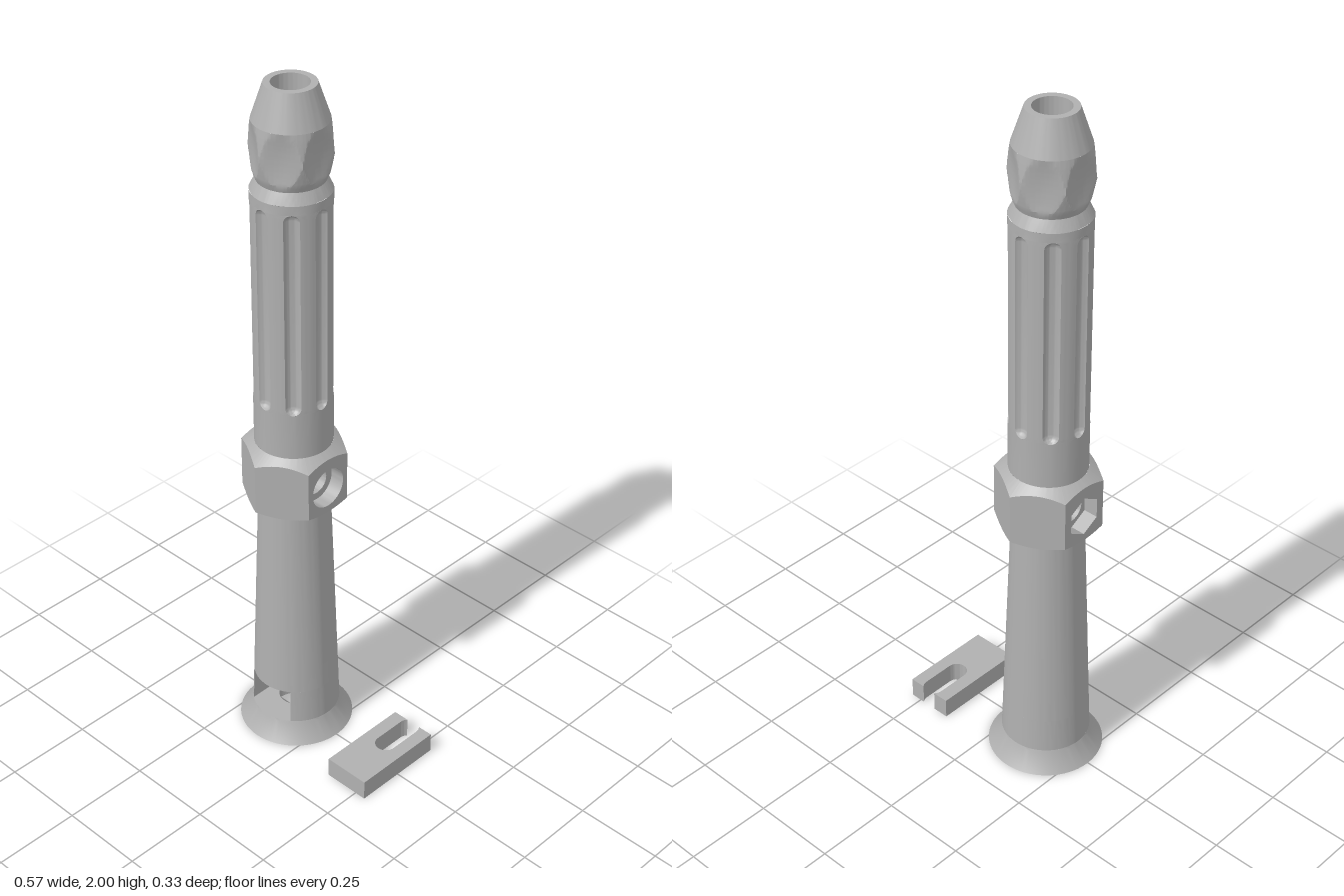
import * as THREE from 'three';
import { toCreasedNormals } from 'three/addons/utils/BufferGeometryUtils.js';

const steel = new THREE.MeshStandardMaterial({ color: 0xb0b0b0 });
steel.name = 'grey steel';

const BORE = 0.05, HOLE = 0.05 * Math.sin(THREE.MathUtils.degToRad(48)), HOLE_Y = 0.858;
const APOTHEM = 0.128, SEAT = 0.085, BARREL = 0.107;
const rad = THREE.MathUtils.degToRad;
const range = (a, b, n) => Array.from({ length: n + 1 }, (_, i) => a + (b - a) * i / n);
const polar = (r, a, y) => [r * Math.sin(a), y, r * Math.cos(a)];

// Skin over rows of points (rows run upwards, columns run to the right)
function loft(rows) {
  const n = rows[0].length, index = [];
  for (let j = 0; j < rows.length - 1; j++) {
    for (let i = 0; i < n - 1; i++) {
      const a = j * n + i, b = a + 1, c = b + n, d = a + n;
      index.push(a, b, c, a, c, d);
    }
  }
  const g = new THREE.BufferGeometry();
  g.setAttribute('position', new THREE.Float32BufferAttribute(rows.flat(2), 3));
  g.setIndex(index);
  return g;
}

function add(parent, name, geometry, crease = 0.5) {
  const mesh = new THREE.Mesh(toCreasedNormals(geometry, crease), steel);
  mesh.name = name;
  parent.add(mesh);
  return mesh;
}

const lathe = pts => new THREE.LatheGeometry(pts.map(p => new THREE.Vector2(...p)), 80);

// Ring-shaped section of the lower body with the slot open to the front
function slottedSection() {
  const a = Math.atan2(0.1, 0.075), s = new THREE.Shape();
  s.absarc(0, 0, 0.125, -a, Math.PI + a, false);
  s.lineTo(-0.075, 0);
  s.lineTo(-BORE, 0);
  s.absarc(0, 0, BORE, Math.PI, 0, true);
  s.lineTo(0.075, 0);
  s.closePath();
  const g = new THREE.ExtrudeGeometry(s, { depth: 0.105, bevelEnabled: false, curveSegments: 40 });
  g.rotateX(-Math.PI / 2).translate(0, 0.06, 0);
  const p = g.attributes.position;
  for (let i = 0; i < p.count; i++) {
    if (p.getY(i) > 0.1 && Math.hypot(p.getX(i), p.getZ(i)) > 0.12) {
      p.setX(i, p.getX(i) * 0.97);
      p.setZ(i, p.getZ(i) * 0.97);
    }
  }
  return g;
}

// Hexagonal collar with conical shoulders and a socket in each side face
function hexCollar() {
  const group = new THREE.Group();
  group.name = 'hexCollar';
  const top = r => 0.965 - (r - BARREL) * 0.75;
  const bottom = r => 0.765 + (r - 0.1) * 0.5;
  const locals = range(-30, 30, 20).map(rad);
  const hexR = l => APOTHEM / Math.cos(l);

  for (let k = 0; k < 6; k++) {
    const ring = f => locals.map(l => polar(...f(l, l + rad(60 * k + 30))));
    const lower = ring((l, a) => [hexR(l), a, bottom(hexR(l))]);
    const upper = ring((l, a) => [hexR(l), a, top(hexR(l))]);
    add(group, 'collarLowerShoulder', loft([ring((l, a) => [0.1, a, 0.765]), lower]));
    add(group, 'collarUpperShoulder', loft([upper, ring((l, a) => [BARREL, a, 0.965])]));
    if (k % 3 !== 1) add(group, 'collarFace', loft([lower, upper]));
  }

  for (const s of [1, -1]) {
    const edge = f => locals.map(l => new THREE.Vector2(APOTHEM * Math.tan(l), f(hexR(l))));
    const face = new THREE.Shape([...edge(bottom), ...edge(top).reverse()]);
    // round counterbore on one side, six-sided nut pocket on the other
    const sides = s > 0 ? 48 : 6;
    face.holes.push(new THREE.Path(range(0, 2 * Math.PI, sides).slice(0, -1).map(t =>
      new THREE.Vector2(0.058 * Math.sin(t), HOLE_Y + 0.058 * Math.cos(t)))));
    const g = new THREE.ExtrudeGeometry(face, { depth: APOTHEM - SEAT, bevelEnabled: false });
    g.translate(0, 0, SEAT).rotateY(s * Math.PI / 2);
    add(group, 'socketFace', g);

    // seat and cross hole leading into the bore
    const ring = (r, x) => range(0, 2 * Math.PI, 48).map(t => {
      const z = s * r * Math.sin(t);
      return [s * x(z), HOLE_Y + r * Math.cos(t), z];
    });
    add(group, 'crossHole', loft([
      ring(0.06, () => SEAT), ring(HOLE, () => SEAT),
      ring(HOLE, z => Math.sqrt(Math.max(0, BORE * BORE - z * z))),
    ]));
  }

  // bore wall, opened where the cross hole passes
  const angles = range(360, 0, 240).map(rad);
  const h = a => Math.sqrt(Math.max(0, HOLE ** 2 - (BORE * Math.cos(a)) ** 2));
  const wall = f => angles.map(a => polar(BORE, a, f(a)));
  add(group, 'boreWall', loft([wall(() => 0.75), wall(a => HOLE_Y - h(a))]));
  add(group, 'boreWall', loft([wall(a => HOLE_Y + h(a)), wall(() => 0.95)]));
  return group;
}

// Barrel with eight round-ended flutes
function flutedBarrel() {
  const tool = 0.022, lift = 0.006, W = Math.sqrt(tool ** 2 - lift ** 2);
  const y0 = 1.1 + W, y1 = 1.69 - W;
  const ends = range(0, 90, 7).map(d => W * Math.sin(rad(d)));
  const ys = [0.965, ...ends.slice().reverse().map(d => y0 - d), ...ends.map(d => y1 + d), 1.715];
  const params = [-2, -1.66, -1.33, ...range(-1, 1, 12), 1.33, 1.66];
  return loft(ys.map(y => {
    const dy = Math.max(0, y0 - y, y - y1);
    const w = Math.sqrt(Math.max(0, W * W - dy * dy));
    const wa = Math.max(w, 0.0005) / BARREL;
    const row = [];
    for (let k = 0; k < 8; k++) {
      for (const p of params) {
        const q = Math.abs(p);
        const l = q <= 1 ? p * wa : Math.sign(p) * (wa + (q - 1) * (Math.PI / 8 - wa));
        const cut = q < 1 && w > 0 ? Math.sqrt(tool ** 2 - dy * dy - (p * w) ** 2) - lift : 0;
        row.push(polar(BARREL - cut, l + k * Math.PI / 4, y));
      }
    }
    row.push(row[0]);
    return row;
  }));
}

// Neck and bulb with six hollowed facets meeting at points
function facetedBulb() {
  const profile = [[1.715, BARREL], [1.745, 0.091], [1.765, 0.099], [1.822, 0.1115], [1.88, 0.104], [1.905, 0.1]];
  const R = y => {
    const i = Math.max(1, profile.findIndex(p => p[0] >= y - 1e-9));
    const [a, b] = [profile[i - 1], profile[i]];
    return a[1] + (b[1] - a[1]) * (y - a[0]) / (b[0] - a[0]);
  };
  const ys = [1.715, 1.73, 1.745, 1.755, ...range(1.765, 1.822, 9), ...range(1.822, 1.88, 9).slice(1), 1.89, 1.905];
  return loft(ys.map(y => range(0, 360, 144).map(d => {
    const l = ((d % 60) - 30) / 30;
    const mid = 0.092 + 1.2 * (y - 1.822) ** 2;
    return polar(Math.min(R(y), mid + (0.1115 - mid) * l * l), rad(d), y);
  })));
}

// Flat locking key with a U-shaped slot
function lockingKey() {
  const s = new THREE.Shape(), c = 0.215, a = Math.acos(0.022 / 0.03);
  s.moveTo(0.145, -0.138);
  s.lineTo(0.283, -0.138);
  s.lineTo(0.283, 0.138);
  s.lineTo(c + 0.022, 0.138);
  s.absarc(c, 0.138 - 0.03 * Math.sin(a), 0.03, a, 0, true);
  s.absarc(c, 0.022, 0.03, 0, -Math.PI, true);
  s.absarc(c, 0.138 - 0.03 * Math.sin(a), 0.03, Math.PI, Math.PI - a, true);
  s.lineTo(0.145, 0.138);
  s.closePath();
  const g = new THREE.ExtrudeGeometry(s, { depth: 0.06, bevelEnabled: false, curveSegments: 24 });
  return g.rotateX(-Math.PI / 2);
}

export function createModel() {
  const model = new THREE.Group();
  model.name = 'model';
  const tube = new THREE.Group();
  tube.name = 'tube';
  tube.position.x = -0.12;
  model.add(tube);

  add(tube, 'baseFlange', lathe([[BORE, 0.06], [BORE, 0.045], [0.068, 0.045], [0.068, 0],
    [0.163, 0], [0.127, 0.053], [0.125, 0.06], [BORE, 0.06]]));
  add(tube, 'slottedSection', slottedSection());
  add(tube, 'lowerBody', lathe([[BORE, 0.75], [BORE, 0.165], [0.1213, 0.165], [0.1, 0.765]]));
  tube.add(hexCollar());
  add(tube, 'flutedBarrel', flutedBarrel());
  add(tube, 'facetedBulb', facetedBulb(), 0.35);
  add(tube, 'tip', lathe([[0.1, 1.905], [0.068, 2], [BORE, 2], [BORE, 0.95]]));

  add(model, 'lockingKey', lockingKey());
  return model;
}
